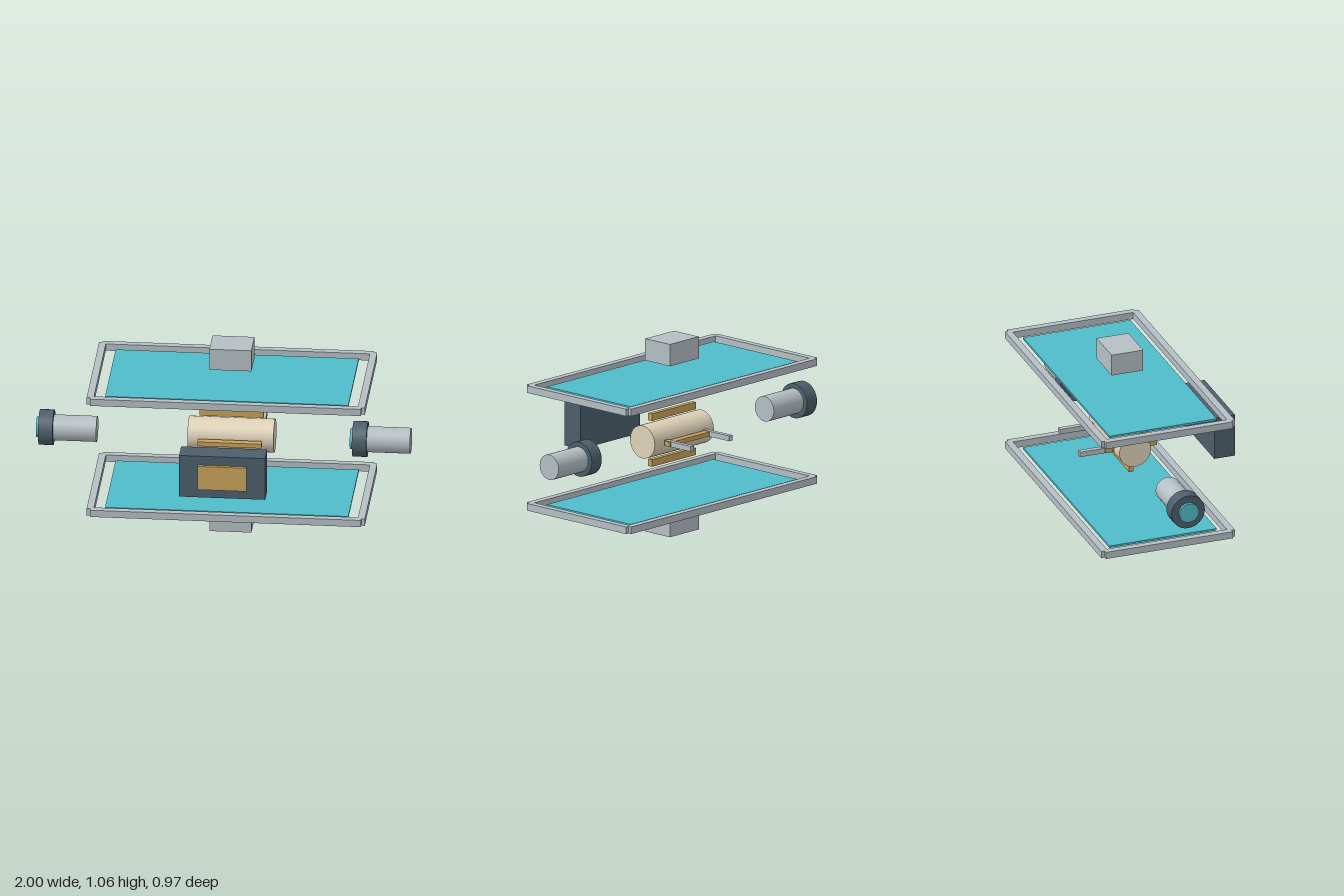
import * as THREE from 'three';

const material = (name, color) => Object.assign(new THREE.MeshStandardMaterial({ color }), { name });

export function createModel() {
  const grey = material('light grey metal', 0xb5bfc4);
  const slate = material('dark slate', 0x4c5f6b);
  const gold = material('gold', 0xc9a35b);
  const cyan = material('cyan', 0x50bccb);
  const cream = material('cream', 0xdfd2b8);

  const model = new THREE.Group();
  model.name = 'satelliteAssembly';

  // Core group: everything but the end units is symmetric about this point
  const core = new THREE.Group();
  core.name = 'core';
  core.position.set(0.043, 0.531, -0.102);
  model.add(core);

  const box = (parent, name, mat, size, pos) => {
    const mesh = new THREE.Mesh(new THREE.BoxGeometry(...size), mat);
    mesh.name = name;
    mesh.position.set(...pos);
    parent.add(mesh);
  };
  // Cylinder lying along x, from x0 to x1
  const rod = (parent, name, mat, radius, x0, x1) => {
    const geometry = new THREE.CylinderGeometry(radius, radius, x1 - x0, 32).rotateZ(Math.PI / 2);
    const mesh = new THREE.Mesh(geometry, mat);
    mesh.name = name;
    mesh.position.x = (x0 + x1) / 2;
    parent.add(mesh);
  };

  // Central drum
  rod(core, 'drum', cream, 0.09, -0.23, 0.23);

  for (const s of [-1, 1]) {
    // Panel, its rectangular frame and the outer block, above and below
    const y = s * 0.324;
    box(core, 'panel', cyan, [1.3, 0.012, 0.61], [0, y, 0]);
    for (const t of [-1, 1]) {
      box(core, 'longRail', grey, [1.449, 0.039, 0.038], [0, y, t * 0.361]);
      box(core, 'sideRail', grey, [0.038, 0.039, 0.722], [t * 0.7245, y, 0]);
    }
    box(core, 'outerBlock', grey, [0.225, 0.12, 0.18], [0, s * 0.4705, 0]);

    // Bars around the drum
    box(core, 'drumBar', gold, [0.342, 0.039, 0.027], [0, s * 0.126, 0]);
    box(core, 'drumBar', gold, [0.342, 0.024, 0.04], [0, 0, s * 0.126]);

    // Rear prongs
    box(core, 'rearProng', grey, [0.027, 0.029, 0.193], [s * 0.15, 0, -0.193]);
  }

  // Front control box with a raised plate
  box(core, 'controlBox', slate, [0.46, 0.24, 0.118], [0, 0, 0.509]);
  box(core, 'controlPlate', gold, [0.262, 0.136, 0.018], [0, 0, 0.577]);

  // End units, both pointing the same way
  for (const x of [-1, 0.677]) {
    const unit = new THREE.Group();
    unit.name = 'endUnit';
    unit.position.set(x, 0.531, -0.102);
    rod(unit, 'lens', cyan, 0.055, 0, 0.016);
    rod(unit, 'collar', slate, 0.095, 0.015, 0.092);
    rod(unit, 'barrel', grey, 0.069, 0.09, 0.323);
    model.add(unit);
  }
  return model;
}
